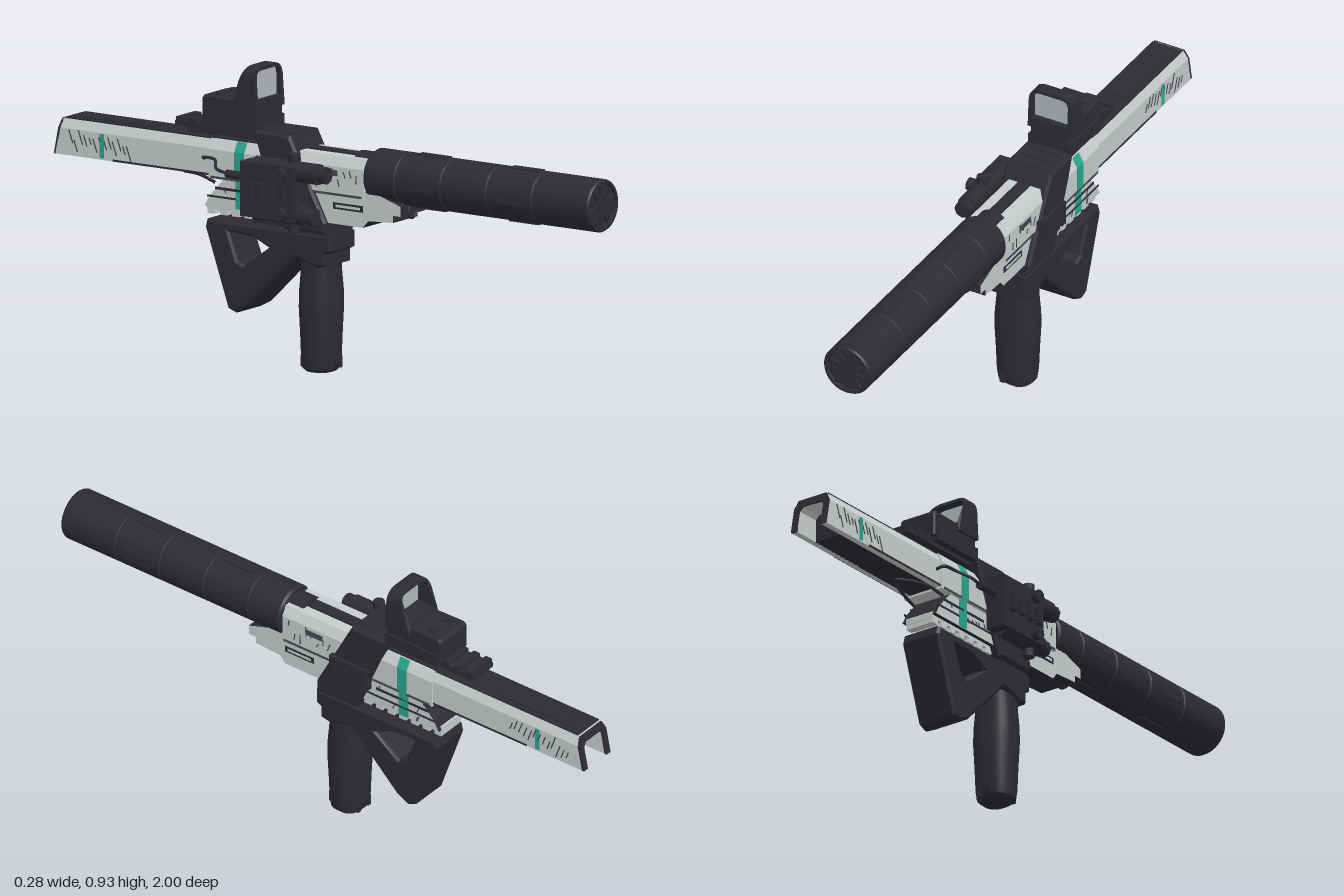
import * as THREE from 'three';
import { toCreasedNormals } from 'three/addons/utils/BufferGeometryUtils.js';

const mat = (name, color) => Object.assign(new THREE.MeshStandardMaterial({ color }), { name });

export function createModel() {
  const black = mat('matteBlack', 0x2b2c32);
  const white = mat('paleGrey', 0xc8cccc);
  const teal = mat('tealStripe', 0x27a58c);
  const mark = mat('darkScratch', 0x45484c);
  const glass = mat('lensGrey', 0xb0b6b8);
  glass.side = THREE.DoubleSide;

  const model = new THREE.Group();
  const root = new THREE.Group();
  root.name = 'carbineBody';
  root.position.x = 0.045; // barrel line sits beside the side-mounted laser
  model.add(root);

  const add = (name, geo, m) => {
    const mesh = new THREE.Mesh(geo, m);
    mesh.name = name;
    root.add(mesh);
    return mesh;
  };
  const box = (name, m, w, h, d, x, y, z) =>
    add(name, new THREE.BoxGeometry(w, h, d).translate(x, y, z), m);
  const shapeOf = (pts) => new THREE.Shape(pts.map(([a, b]) => new THREE.Vector2(a, b)));
  // side profile in (z, y), given a width across x
  const side = (pts, half, bevel = 0, hole) => {
    const s = shapeOf(pts);
    if (hole) s.holes.push(shapeOf(hole));
    const g = new THREE.ExtrudeGeometry(s, {
      depth: 2 * (half - bevel), bevelEnabled: bevel > 0, bevelSize: bevel,
      bevelThickness: bevel, bevelOffset: -bevel, bevelSegments: 1,
    });
    return g.translate(0, 0, -(half - bevel)).rotateY(-Math.PI / 2);
  };
  // front section in (x, y), run along z
  const along = (s, z0, z1) =>
    new THREE.ExtrudeGeometry(s, { depth: z1 - z0, bevelEnabled: false, curveSegments: 8 }).translate(0, 0, z0);
  const cylZ = (r, z0, z1, x, y, n = 20) =>
    new THREE.CylinderGeometry(r, r, z1 - z0, n).rotateX(Math.PI / 2).translate(x, y, (z0 + z1) / 2);
  const moveVertices = (g, rule) => {
    const p = g.attributes.position, v = new THREE.Vector3();
    for (let i = 0; i < p.count; i++) {
      rule(v.fromBufferAttribute(p, i));
      p.setXYZ(i, v.x, v.y, v.z);
    }
    g.computeVertexNormals();
    return g;
  };

  // Suppressor: turned tube with shallow seams
  const R = 0.082, prof = [[0, 0.16], [0.076, 0.16], [R, 0.168]];
  for (const z of [0.28, 0.45, 0.62, 0.79])
    prof.push([R, z - 0.006], [R - 0.004, z - 0.003], [R - 0.004, z + 0.003], [R, z + 0.006]);
  prof.push([R, 0.994], [R - 0.004, 1], [R - 0.012, 1], [R - 0.014, 0.988], [0, 0.988]);
  const tube = new THREE.LatheGeometry(prof.map(([r, z]) => new THREE.Vector2(r, z)), 36).rotateX(Math.PI / 2);
  add('suppressor', toCreasedNormals(tube, 0.5), black).position.y = 0.632;
  for (const z of [0.33, 0.675])
    for (let i = 0; i < 4; i++) {
      const flat = box('suppressorFlat', black, 0.034, 0.006, 0.11, 0, 0.081, 0);
      flat.geometry.rotateZ(i * Math.PI / 2);
      flat.position.set(0, 0.632, z + 0.04);
    }
  for (let i = 0; i < 10; i++) {
    const rib = box('muzzleRib', black, 0.016, 0.042, 0.01, 0, 0.045, 0.992);
    rib.geometry.rotateZ((i * Math.PI) / 5);
    rib.position.y = 0.632;
  }
  add('muzzleHub', cylZ(0.022, 0.98, 0.997, 0, 0.632), black);
  add('suppressorCollar', cylZ(0.06, 0.1, 0.17, 0, 0.64, 28), black);

  // Rear slide: inverted channel with chamfered shoulders and a raked end
  const w = 0.066;
  const channel = shapeOf([[-w, 0.572], [-w, 0.655], [-0.052, 0.683], [0.052, 0.683], [w, 0.655], [w, 0.572],
    [0.046, 0.572], [0.046, 0.645], [0.034, 0.658], [-0.034, 0.658], [-0.046, 0.645], [-0.046, 0.572]]);
  const rake = (v) => { if (v.z < -0.98) v.z += (v.y - 0.572) * 0.2; };
  add('slideShell', moveVertices(along(channel, -0.994, -0.4), rake), white);
  add('slideRearRim', moveVertices(along(channel, -1, -0.992), rake), black);
  box('slideCore', black, 0.1, 0.088, 0.5, 0, 0.616, -0.65);
  box('slideTopPanel', black, 0.104, 0.008, 0.555, 0, 0.683, -0.688);
  box('slideTopRidge', black, 0.07, 0.006, 0.26, 0, 0.688, -0.78);

  // Upper body between the suppressor and the slide
  const b = 0.072;
  add('upperBody', along(shapeOf([[-b, 0.565], [b, 0.565], [b, 0.655], [0.055, 0.686], [-0.055, 0.686], [-b, 0.655]]),
    -0.42, 0.155), white);
  box('upperTopStrip', black, 0.04, 0.012, 0.29, 0, 0.685, 0.01);
  box('upperRearTop', black, 0.1, 0.008, 0.22, 0, 0.686, -0.31);

  // Lower frame, pale on its flanks and dark on its edges
  add('lowerFrame', side([[0.29, 0.556], [0.29, 0.525], [0.262, 0.525], [0.262, 0.503], [0.17, 0.498], [0.15, 0.475],
    [-0.44, 0.475], [-0.42, 0.51], [-0.35, 0.585], [0.2, 0.585]], 0.064), [white, black]);
  box('frameRail', white, 0.1, 0.02, 0.32, 0, 0.475, -0.28);
  for (let i = 0; i < 7; i++) box('frameRailTooth', white, 0.1, 0.02, 0.026, 0, 0.46, -0.155 - i * 0.045);
  const loop = add('frontLoop', new THREE.TorusGeometry(0.022, 0.005, 8, 20), black);
  loop.position.set(0, 0.535, 0.288);

  // Flank details: slots, stripes and scratches, the same on both sides
  let seed = 7;
  const rnd = () => (seed = (seed * 16807) % 2147483647) / 2147483647;
  for (const s of [-1, 1]) {
    const plate = (name, m, x, y, z, h, d, tilt = 0) => {
      const p = box(name, m, 0.003, h, d, 0, 0, 0);
      p.position.set(s * x, y, z);
      p.rotation.x = tilt;
    };
    plate('bodyStripe', teal, 0.0725, 0.61, -0.305, 0.09, 0.036);
    const chamfer = box('bodyStripeTop', teal, 0.003, 0.035, 0.036, 0, 0, 0);
    chamfer.position.set(s * 0.0637, 0.6705, -0.305);
    chamfer.rotation.z = s * 0.503;
    plate('frameStripe', teal, 0.0645, 0.525, -0.305, 0.095, 0.036);
    plate('slideStripe', teal, 0.0662, 0.615, -0.82, 0.075, 0.016);
    plate('frameSlot', black, 0.0645, 0.532, 0.095, 0.02, 0.11);
    plate('frameSlotInlay', white, 0.0655, 0.532, 0.095, 0.008, 0.09);
    plate('frameGroove', black, 0.0645, 0.535, -0.3, 0.008, 0.2);
    plate('frameGroove', black, 0.0645, 0.508, -0.28, 0.006, 0.3);
    plate('bodySeam', mark, 0.0725, 0.569, -0.13, 0.007, 0.56);
    plate('bodyWindow', mark, 0.0725, 0.635, 0.03, 0.018, 0.06);
    plate('slideNotch', black, 0.0662, 0.575, -0.6, 0.006, 0.36);
    for (let i = 0; i < 13; i++)
      plate('slideScratch', mark, 0.0662, 0.6 + rnd() * 0.035, -0.72 - i * 0.018, 0.02 + rnd() * 0.035, 0.0035, -0.35);
    for (let i = 0; i < 8; i++)
      plate('bodyScratch', mark, 0.0725, 0.59 + rnd() * 0.05, 0.13 - i * 0.022, 0.015 + rnd() * 0.02, 0.003, -0.5 + rnd() * 0.6);
    for (let i = 0; i < 6; i++)
      plate('frameScratch', mark, 0.0645, 0.49 + rnd() * 0.06, -0.16 - rnd() * 0.22, 0.018, 0.003, -0.4);
  }

  // Slanted clamp band and top rail
  add('clampBand', side([[-0.115, 0.732], [-0.25, 0.732], [-0.225, 0.655], [-0.135, 0.44], [0.02, 0.44], [0.02, 0.475]],
    0.08, 0.008), black);
  box('topRail', black, 0.1, 0.016, 0.45, 0, 0.716, -0.335);
  for (let i = 0; i < 10; i++) box('topRailTooth', black, 0.1, 0.014, 0.024, 0, 0.729, -0.135 - i * 0.0455);
  box('topRailFoot', black, 0.05, 0.03, 0.3, 0, 0.695, -0.38);

  // Left accessory rail and right mount bracket
  box('leftRail', black, 0.024, 0.075, 0.145, 0.078, 0.565, -0.11);
  for (let i = 0; i < 4; i++) box('leftRailTooth', black, 0.012, 0.08, 0.022, 0.089, 0.565, -0.055 - i * 0.037);
  box('rightBracket', black, 0.045, 0.1, 0.13, -0.09, 0.575, -0.11);

  // Reflex sight: base block, hood frame and lens
  add('sightBase', side([[-0.24, 0.735], [-0.24, 0.815], [-0.44, 0.82], [-0.45, 0.81], [-0.45, 0.735]], 0.066, 0.006), black);
  box('sightFoot', black, 0.146, 0.042, 0.2, 0, 0.742, -0.34);
  const arch = (S, x, y0, y1, r) => {
    S.moveTo(-x, y0); S.lineTo(x, y0); S.lineTo(x, y1 - r);
    S.quadraticCurveTo(x, y1, x - r, y1); S.lineTo(r - x, y1);
    S.quadraticCurveTo(-x, y1, -x, y1 - r); S.lineTo(-x, y0);
    return S;
  };
  const hood = arch(new THREE.Shape(), 0.075, 0.79, 0.925, 0.045);
  hood.holes.push(arch(new THREE.Path(), 0.062, 0.822, 0.912, 0.025));
  add('sightHood', moveVertices(along(hood, -0.335, -0.24), (v) => {
    if (v.z < -0.3) v.z += Math.max(0, v.y - 0.81) * 0.42;
    else v.z -= (v.y - 0.79) * 0.07;
  }), black);
  add('sightLens', new THREE.PlaneGeometry(0.126, 0.092).translate(0, 0.867, -0.262), glass);
  for (const x of [-0.035, 0.035])
    add('sightButton', new THREE.CylinderGeometry(0.014, 0.014, 0.012, 14).translate(x, 0.822, -0.4), black);

  // Aiming laser on the right flank
  box('laserBody', black, 0.066, 0.17, 0.2, -0.135, 0.57, -0.135);
  for (const [y, end, dir] of [[0.637, 0.065, 1], [0.503, 0.02, -1]]) {
    add('laserTube', cylZ(0.032, -0.2, end - 0.03, -0.13, y), black);
    add('laserBezel', cylZ(0.027, end - 0.03, end, -0.13, y, 8), black);
    add('laserSideKnob', new THREE.CylinderGeometry(0.02, 0.02, 0.05, 12).rotateZ(Math.PI / 2).translate(-0.165, y - dir * 0.005, -0.08), black);
    add('laserCapKnob', new THREE.CylinderGeometry(0.018, 0.018, 0.05, 12).translate(-0.13, y + dir * 0.029, -0.06), black);
  }
  for (let i = 0; i < 4; i++) box('laserFin', black, 0.02, 0.055, 0.02, -0.176, 0.57, -0.07 - i * 0.042);
  add('cableBoot', cylZ(0.013, -0.31, -0.23, -0.13, 0.6, 12), black);
  const wire = (name, pts) => add(name, new THREE.TubeGeometry(
    new THREE.CatmullRomCurve3(pts.map((p) => new THREE.Vector3(...p))), 32, 0.005, 6), black);
  wire('laserCable', [[-0.13, 0.6, -0.3], [-0.128, 0.61, -0.35], [-0.095, 0.63, -0.38], [-0.085, 0.63, -0.43], [-0.06, 0.62, -0.44]]);
  wire('rearCable', [[-0.06, 0.55, -0.4], [-0.045, 0.565, -0.47], [0, 0.56, -0.56], [0.045, 0.565, -0.47], [0.06, 0.55, -0.38]]);

  // Grip mount with the open triangular brace
  add('gripMountBrace', side([[0.03, 0.435], [0.03, 0.385], [0.012, 0.375], [0.012, 0.337], [-0.02, 0.33], [-0.1, 0.355],
    [-0.28, 0.178], [-0.322, 0.156], [-0.352, 0.168], [-0.436, 0.41], [-0.43, 0.436]], 0.07, 0.008,
  [[-0.2, 0.372], [-0.26, 0.4], [-0.35, 0.405], [-0.316, 0.318], [-0.29, 0.308]]), black);
  box('mountNeck', black, 0.064, 0.03, 0.3, 0, 0.445, -0.13);
  for (const s of [-1, 1]) box('mountClampLip', black, 0.02, 0.018, 0.14, s * 0.055, 0.437, -0.05);

  // Fore grip: turned form squared off slightly
  const gripProfile = [[0, 0], [0.045, 0], [0.056, 0.01], [0.06, 0.04], [0.063, 0.12], [0.067, 0.2], [0.066, 0.25],
    [0.061, 0.31], [0.06, 0.37], [0, 0.37]];
  const grip = moveVertices(
    new THREE.LatheGeometry(gripProfile.map(([r, y]) => new THREE.Vector2(r, y)), 32), (v) => {
      const r = Math.hypot(v.x, v.z) || 1;
      const k = (Math.abs(v.x / r) ** 2.6 + Math.abs(v.z / r) ** 2.6 || 1) ** (-1 / 2.6);
      v.x *= k * 1.03;
      v.z *= k * 0.92;
    });
  add('foreGrip', toCreasedNormals(grip, 0.7), black).position.z = -0.05;
  for (const s of [-1, 1])
    for (const x of [-0.025, 0.025]) box('gripFootRib', black, 0.014, 0.035, 0.008, x, 0.028, -0.05 + s * 0.052);

  return model;
}
